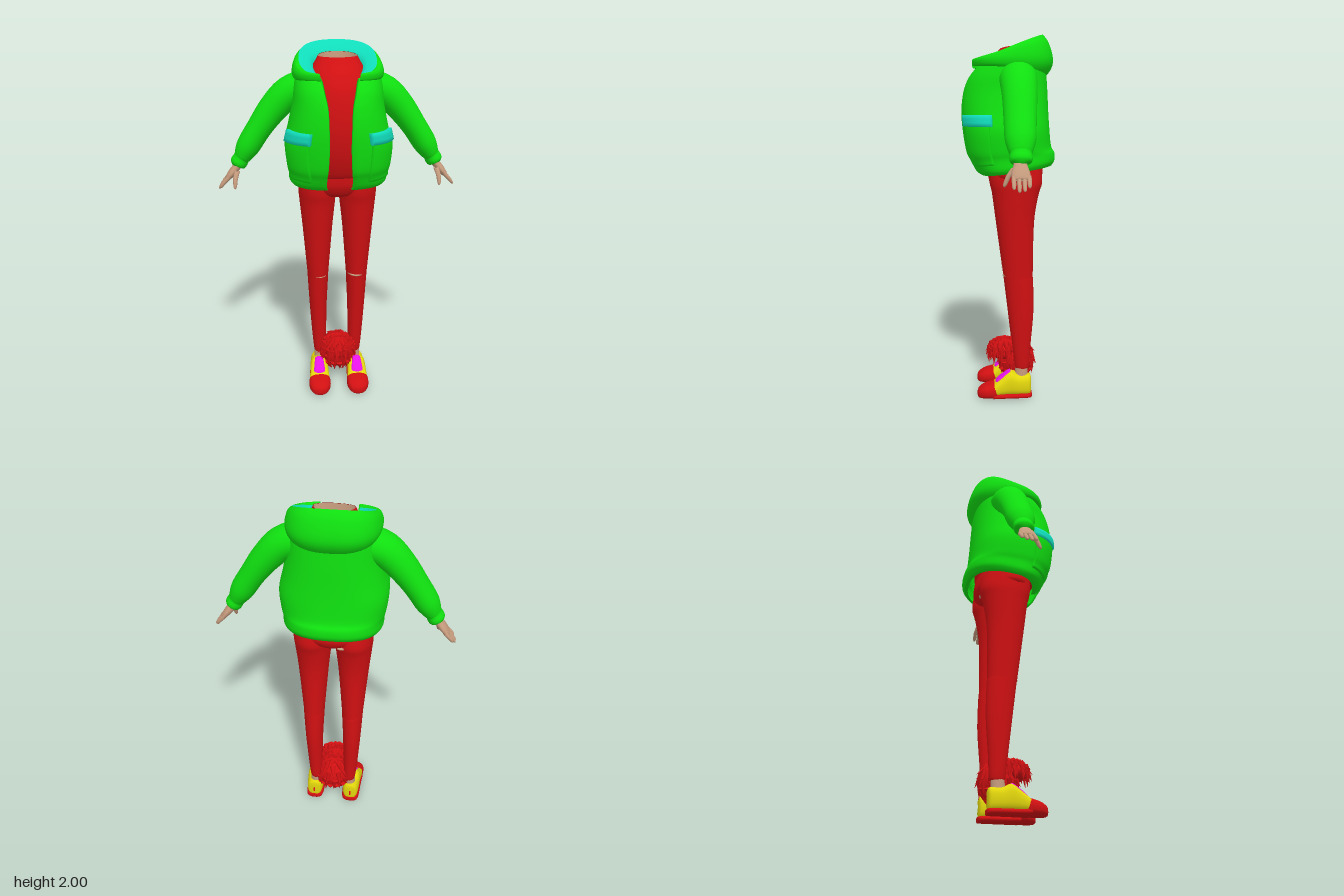
import * as THREE from 'three';
import { mergeGeometries } from 'three/addons/utils/BufferGeometryUtils.js';

const mat = (name, color, side = THREE.FrontSide) => {
  const m = new THREE.MeshStandardMaterial({ color, side });
  m.name = name;
  return m;
};

// Smooths a table of section rows with a Catmull-Rom rule, n steps per row.
function smooth(rows, n = 4) {
  const out = [], last = rows.length - 1;
  for (let i = 0; i < last; i++) {
    const [a, b, c, d] = [rows[Math.max(i - 1, 0)], rows[i], rows[i + 1], rows[Math.min(i + 2, last)]];
    for (let k = 0; k < n; k++) {
      const t = k / n;
      out.push(b.map((v, j) => v + 0.5 * t * (c[j] - a[j] + t * (2 * a[j] - 5 * v + 4 * c[j] - d[j]
        + t * (3 * (v - c[j]) + d[j] - a[j])))));
    }
  }
  out.push(rows[last]);
  return out;
}

// Skins a list of rings of [x, y, z] points.
function loft(rings, closed = true) {
  const n = rings[0].length, idx = [];
  for (let r = 0; r < rings.length - 1; r++) {
    for (let i = 0; i < (closed ? n : n - 1); i++) {
      const a = r * n + i, b = r * n + (i + 1) % n;
      idx.push(a, b, b + n, a, b + n, a + n);
    }
  }
  const g = new THREE.BufferGeometry();
  g.setAttribute('position', new THREE.Float32BufferAttribute(rings.flat(2), 3));
  g.setIndex(idx);
  g.computeVertexNormals();
  return g;
}

function mirrored(g) {
  const m = g.clone().scale(-1, 1, 1), a = m.index.array;
  for (let i = 0; i < a.length; i += 3) [a[i], a[i + 1]] = [a[i + 1], a[i]];
  m.computeVertexNormals();
  return m;
}

const TAU = Math.PI * 2;
const spow = (v, e) => Math.sign(v) * Math.abs(v) ** e;
const steps = (a, b, n) => Array.from({ length: n }, (_, i) => a + (b - a) * i / (n - 1));
const around = (n) => Array.from({ length: n }, (_, i) => TAU * i / n);

// Torso section row: [height, half width, front z, back z, slant, opening half width]
function torsoPoint(t, [h, rx, zf, zb, slant], p = 2, off = 0) {
  const c = Math.cos(t);
  const x = (rx + off) * spow(Math.sin(t), 2 / p);
  const z = ((c > 0 ? zf : zb) + off) * spow(c, 2 / p);
  return [x, h - slant * z, z];
}
const P = 2.5;
const opening = (row) => Math.asin(Math.min(0.998, (row[5] / row[1]) ** (P / 2)));
const fullTorso = (rows, n = 40) => loft(smooth(rows).map((r) => around(n).map((t) => torsoPoint(t, r))));

// Thick cloth shell following torso rows between two angles.
function shell(rows, range, thick, off = 0, n = 48) {
  const ring = (r, th, o) => {
    const ts = steps(...range(r), n);
    return [...ts.map((t) => torsoPoint(t, r, P, o)), ...ts.reverse().map((t) => torsoPoint(t, r, P, o - th))];
  };
  const rings = rows.map((r) => ring(r, thick, off));
  rings.unshift(ring(rows[0], 0, off - thick / 2));
  rings.push(ring(rows[rows.length - 1], 0, off - thick / 2));
  return loft(rings);
}

// Limb along a path in the x-y plane; row: [x, y, z, in-plane radius, z radius]
function limb(rows, n = 20, s = 4) {
  const r = smooth(rows, s);
  return loft(r.map(([x, y, z, a, b], i) => {
    const p = r[Math.max(i - 1, 0)], q = r[Math.min(i + 1, r.length - 1)];
    const dx = q[0] - p[0], dy = q[1] - p[1], l = Math.hypot(dx, dy) || 1;
    return around(n).map((t) => [x - dy / l * a * Math.cos(t), y + dx / l * a * Math.cos(t), z + b * Math.sin(t)]);
  }));
}

// Leg-like column; row: [y, centre x, half width, front z, back z]
const column = (rows) => loft(smooth(rows).map(([y, cx, w, f, b]) => around(24).map((t) =>
  [cx + w * Math.sin(t), y, (f + b) / 2 + (f - b) / 2 * Math.cos(t)])));

// Shoe piece along z; row: [z, half width, bottom y, top y]
const FOOT_X = 0.113;
const shoePart = (rows) => loft(smooth(rows).map(([z, w, y0, y1]) => around(24).map((t) =>
  [FOOT_X + w * spow(Math.cos(t), 0.75), (y0 + y1) / 2 + (y1 - y0) / 2 * spow(Math.sin(t), 0.75), z])));

const ellipsoid = (x, y, z, a, b, c) => new THREE.SphereGeometry(1, 24, 16).scale(a, b, c).translate(x, y, z);

// Tousled wig: two rounded masses covered with overlapping pointed locks.
function hairGeometry() {
  const masses = [[0, 0.18, -0.045, 0.098, 0.105, 0.095], [0, 0.237, 0.025, 0.092, 0.052, 0.085]];
  const parts = masses.map((m) => ellipsoid(...m));
  let seed = 7;
  const rnd = () => (seed = (seed * 16807) % 2147483647) / 2147483647;
  const up = new THREE.Vector3(0, 1, 0);
  masses.forEach(([cx, cy, cz, a, b, c], k) => {
    for (let row = 0; row < 5; row++) {
      const phi = 0.35 + row * (k ? 0.3 : 0.45), count = 7 + row * 2;
      for (let i = 0; i < count; i++) {
        const t = TAU * (i + 0.5 * (row % 2) + 0.4 * rnd()) / count;
        const n = new THREE.Vector3(Math.sin(phi) * Math.sin(t), Math.cos(phi), Math.sin(phi) * Math.cos(t));
        const down = new THREE.Vector3(Math.cos(phi) * Math.sin(t) + 0.3 * rnd() - 0.15, -Math.sin(phi), Math.cos(phi) * Math.cos(t));
        const dir = down.addScaledVector(n, 0.12).normalize();
        const lock = new THREE.ConeGeometry(0.02, 0.075 + 0.02 * rnd(), 7, 3).scale(1, 1, 0.8);
        lock.applyQuaternion(new THREE.Quaternion().setFromUnitVectors(up, dir));
        lock.translate(cx + n.x * a + dir.x * 0.02, cy + n.y * b + dir.y * 0.02, cz + n.z * c + dir.z * 0.02);
        parts.push(lock);
      }
    }
  });
  return mergeGeometries(parts);
}

export function createModel() {
  const model = new THREE.Group();
  model.name = 'figure';
  const green = mat('jacketGreen', 0x10e010, THREE.DoubleSide);
  const teal = mat('liningTeal', 0x10dcba, THREE.DoubleSide);
  const red = mat('clothRed', 0xd01012, THREE.DoubleSide);
  const skin = mat('skin', 0xc49a7c, THREE.DoubleSide);
  const yellow = mat('shoeYellow', 0xe2d60c);
  const magenta = mat('laceMagenta', 0xf214f2);
  const add = (name, g, m) => {
    const mesh = new THREE.Mesh(g, m);
    mesh.name = name;
    model.add(mesh);
  };
  const pair = (name, g, m) => {
    add(name + 'Left', g, m);
    add(name + 'Right', mirrored(g), m);
  };

  // Open jacket
  const jacket = smooth([
    [1.28, 0.25, 0.15, 0.238, 0.14, 0.066], [1.305, 0.264, 0.178, 0.252, 0.14, 0.072],
    [1.355, 0.266, 0.208, 0.25, 0.1, 0.07], [1.4, 0.276, 0.232, 0.232, 0.06, 0.064],
    [1.5, 0.283, 0.25, 0.222, 0, 0.058], [1.6, 0.26, 0.257, 0.215, 0, 0.06],
    [1.7, 0.24, 0.246, 0.21, 0, 0.065], [1.78, 0.232, 0.222, 0.204, 0.05, 0.08],
    [1.85, 0.218, 0.192, 0.198, 0.2, 0.09], [1.89, 0.2, 0.175, 0.185, 0.35, 0.1]], 5);
  add('jacketBody', shell(jacket, (r) => [opening(r), TAU - opening(r)], 0.018, 0, 64), green);

  // Pockets and their flaps
  const band = (lo, hi) => jacket.filter((r) => r[0] > lo && r[0] < hi);
  pair('pocket', shell(band(1.33, 1.55), () => [0.5, 1.22], 0.02, 0.01, 16), green);
  pair('pocketFlap', shell(band(1.505, 1.585), () => [0.47, 1.28], 0.03, 0.017, 16), teal);

  // Hood draped over the shoulders, with its lining
  const sheet = (rows) => loft(smooth(rows).map((r) =>
    steps(opening(r), TAU - opening(r), 64).map((t) => torsoPoint(t, r, P))), false);
  const rim = [1.925, 0.2, 0.19, 0.185, 0.4, 0.105];
  add('hood', sheet([[1.805, 0.205, 0.185, 0.19, -0.175, 0.095], [1.83, 0.23, 0.2, 0.23, -0.02, 0.095],
    [1.868, 0.236, 0.205, 0.238, 0.05, 0.098], [1.91, 0.222, 0.2, 0.215, 0.22, 0.102], rim]), green);
  add('hoodLining', sheet([rim, [1.918, 0.17, 0.175, 0.155, 0.4, 0.105],
    [1.9, 0.135, 0.165, 0.118, 0.38, 0.105], [1.86, 0.112, 0.15, 0.1, 0.3, 0.105]]), teal);

  // Shirt and the hollow neck
  add('shirt', fullTorso([[1.325, 0.17, 0.12, 0.16, 0], [1.33, 0.2, 0.15, 0.18, 0], [1.45, 0.225, 0.195, 0.19, 0],
    [1.6, 0.215, 0.212, 0.185, 0], [1.75, 0.19, 0.19, 0.17, 0], [1.85, 0.15, 0.14, 0.14, 0.05],
    [1.91, 0.115, 0.075, 0.112, 0.12], [1.935, 0.102, 0.045, 0.1, 0.12]]), red);
  add('neckHollow', fullTorso([[1.7, 0.002, 0.002, 0.002, 0], [1.71, 0.07, 0.03, 0.07, 0],
    [1.85, 0.085, 0.035, 0.085, 0.05], [1.934, 0.101, 0.044, 0.099, 0.12]]), skin);

  // Sleeves with gathered cuffs
  pair('sleeve', limb([[0.15, 1.785, -0.04, 0.085, 0.1], [0.255, 1.742, -0.04, 0.085, 0.095],
    [0.34, 1.66, -0.04, 0.077, 0.087], [0.415, 1.56, -0.037, 0.067, 0.081], [0.475, 1.468, -0.035, 0.064, 0.076],
    [0.507, 1.415, -0.034, 0.05, 0.06], [0.517, 1.4, -0.034, 0.044, 0.053], [0.53, 1.378, -0.034, 0.046, 0.056],
    [0.54, 1.363, -0.034, 0.04, 0.048], [0.541, 1.36, -0.034, 0.015, 0.02]], 28), green);

  // Hands
  pair('palm', limb([[0.515, 1.39, -0.03, 0.022, 0.03], [0.545, 1.35, -0.03, 0.022, 0.033],
    [0.572, 1.318, -0.03, 0.021, 0.044], [0.597, 1.288, -0.032, 0.014, 0.043], [0.602, 1.283, -0.032, 0.002, 0.03]]), skin);
  [[0.004, 0.635, 1.243], [-0.021, 0.645, 1.232], [-0.046, 0.643, 1.235], [-0.069, 0.63, 1.25]].forEach(([z, x, y], i) =>
    pair('finger' + (i + 1), limb([[0.585, 1.3, z, 0.011, 0.011], [(0.6 + x) / 2, (1.29 + y) / 2, z, 0.01, 0.0105],
      [x - 0.005, y + 0.006, z, 0.007, 0.008], [x, y, z, 0.001, 0.001]], 10), skin));
  pair('thumb', limb([[0.54, 1.335, 0, 0.014, 0.014], [0.55, 1.3, 0.025, 0.013, 0.013],
    [0.553, 1.258, 0.043, 0.009, 0.01], [0.553, 1.245, 0.046, 0.001, 0.001]].map((r) => [r[0], r[1], r[2], r[3], r[4]]).reverse(), 12), skin);

  // Trousers
  add('trouserSeat', fullTorso([[1.185, 0.03, 0.03, 0.07, 0], [1.205, 0.13, 0.085, 0.15, 0],
    [1.25, 0.21, 0.115, 0.186, 0], [1.3, 0.215, 0.126, 0.188, 0], [1.42, 0.19, 0.13, 0.17, 0]]), red);
  pair('trouserLeg', column([[0.172, 0.105, 0.026, -0.04, -0.102], [0.18, 0.105, 0.034, -0.032, -0.113],
    [0.3, 0.108, 0.042, -0.018, -0.12], [0.5, 0.112, 0.051, 0.005, -0.135], [0.68, 0.112, 0.06, 0.027, -0.132],
    [0.72, 0.112, 0.062, 0.033, -0.13], [1.0, 0.112, 0.084, 0.07, -0.135], [1.15, 0.111, 0.099, 0.09, -0.158],
    [1.22, 0.111, 0.104, 0.106, -0.178], [1.3, 0.11, 0.1, 0.11, -0.17]]), red);

  // Bare skin showing through rips
  add('kneeRipLeft', ellipsoid(0.108, 0.708, -0.044, 0.055, 0.016, 0.081), skin);
  add('kneeRipRight', ellipsoid(-0.108, 0.7, -0.046, 0.053, 0.009, 0.08), skin);
  add('seatRip', ellipsoid(-0.055, 1.215, -0.158, 0.022, 0.009, 0.012), skin);
  add('seatRipSmall', ellipsoid(-0.02, 1.222, -0.155, 0.008, 0.005, 0.012), skin);

  // Ankles and shoes
  pair('ankle', column([[0.1, 0.107, 0.034, -0.03, -0.105], [0.21, 0.106, 0.028, -0.038, -0.104]]), skin);
  pair('shoeUpper', shoePart([[-0.124, 0.005, 0.05, 0.09], [-0.119, 0.034, 0.02, 0.128], [-0.1, 0.046, 0.015, 0.134],
    [-0.05, 0.051, 0.015, 0.136], [-0.005, 0.053, 0.015, 0.155], [0.04, 0.056, 0.015, 0.125],
    [0.085, 0.059, 0.015, 0.088], [0.11, 0.05, 0.015, 0.07]]), yellow);
  pair('shoeTongue', shoePart([[-0.008, 0.005, 0.13, 0.15], [0, 0.03, 0.08, 0.16], [0.04, 0.034, 0.07, 0.133],
    [0.07, 0.034, 0.06, 0.107], [0.08, 0.01, 0.06, 0.09]]), magenta);
  pair('shoeToe', shoePart([[0.068, 0.05, 0, 0.08], [0.078, 0.06, 0, 0.089], [0.105, 0.064, 0, 0.083],
    [0.14, 0.059, 0, 0.072], [0.168, 0.041, 0.002, 0.055], [0.177, 0.022, 0.008, 0.042], [0.18, 0.002, 0.02, 0.03]]), red);
  pair('shoeSole', shoePart([[-0.128, 0.003, 0.01, 0.02], [-0.123, 0.038, 0, 0.03], [-0.09, 0.052, 0, 0.032],
    [0, 0.056, 0, 0.032], [0.09, 0.062, 0, 0.034]]), red);

  // Loose wig resting between the ankles
  add('wig', hairGeometry(), red);

  return model;
}
